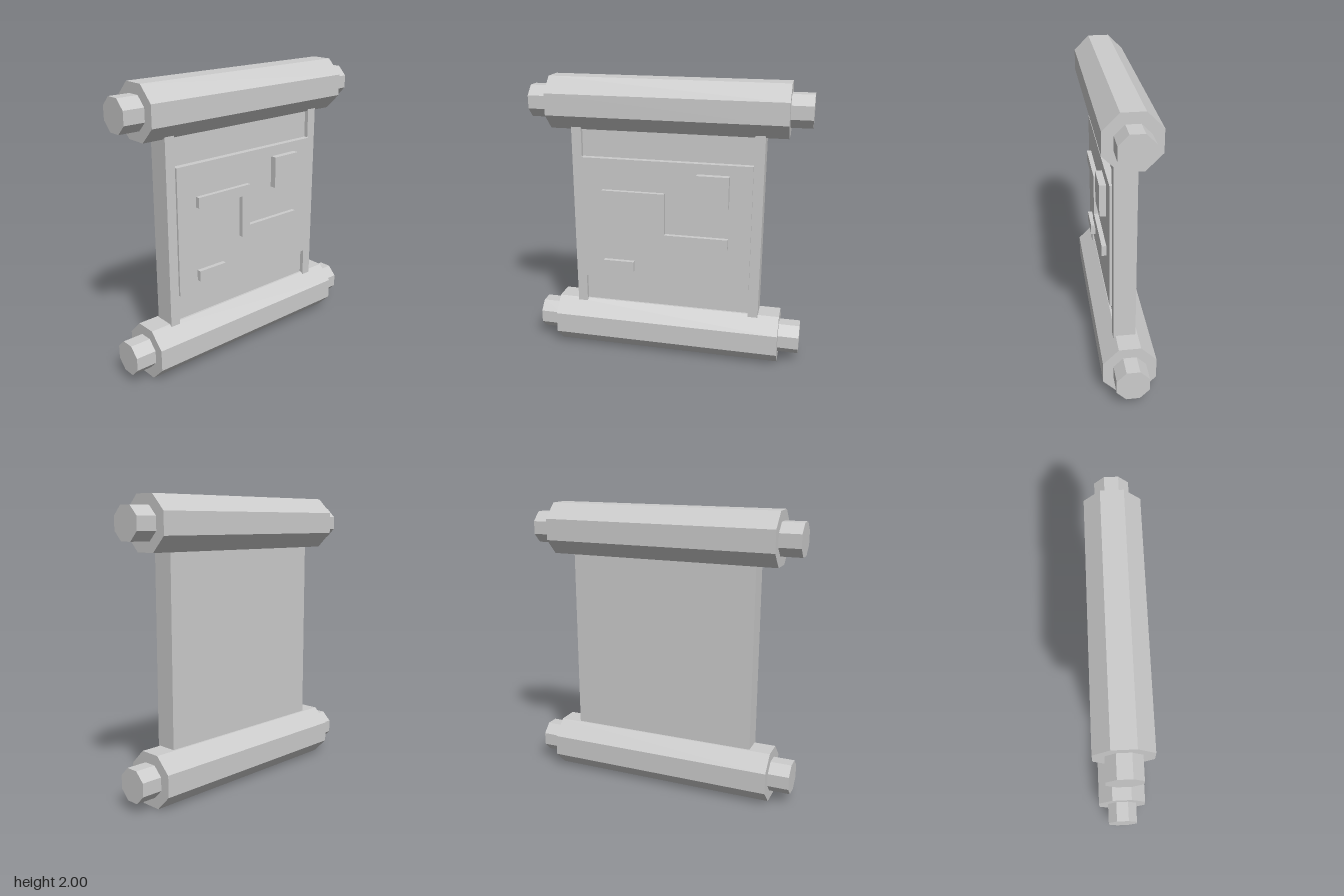
import * as THREE from 'three';

export function createModel() {
  const group = new THREE.Group();
  group.name = 'scroll';
  const stone = new THREE.MeshStandardMaterial({ color: 0xcccccc });
  stone.name = 'stone grey';

  const add = (name, geometry) => {
    const flat = geometry.index ? geometry.toNonIndexed() : geometry;
    flat.computeVertexNormals();
    const mesh = new THREE.Mesh(flat, stone);
    mesh.name = name;
    group.add(mesh);
    return mesh;
  };

  // Octagonal bar along x; apothem is the distance from axis to flat side
  const octagonBar = (name, apothem, x0, x1, y) => {
    const radius = apothem / Math.cos(Math.PI / 8);
    const geometry = new THREE.CylinderGeometry(radius, radius, x1 - x0, 8);
    geometry.rotateY(Math.PI / 8).rotateZ(Math.PI / 2);
    add(name, geometry).position.set((x0 + x1) / 2, y, 0);
  };

  // Box given by its limits
  const block = (name, x0, x1, y0, y1, z0, z1) =>
    add(name, new THREE.BoxGeometry(x1 - x0, y1 - y0, z1 - z0))
      .position.set((x0 + x1) / 2, (y0 + y1) / 2, (z0 + z1) / 2);

  const outline = (points) => new THREE.Shape(points.map(([x, y]) => new THREE.Vector2(x, y)));

  // Rollers with an end knob on each side
  for (const [label, y] of [['top', 1.821], ['bottom', 0.179]]) {
    octagonBar(label + 'Roller', 0.179, -0.82, 0.82, y);
    octagonBar(label + 'LeftKnob', 0.109, 0.82, 0.967, y);
    octagonBar(label + 'RightKnob', 0.109, -0.967, -0.82, y);
  }

  // Sheet with raised side rails: channel cross-section drawn as (x, -z), extruded upwards
  const channel = outline([
    [-0.67, 0.06], [-0.67, -0.09], [-0.6, -0.09], [-0.6, -0.06],
    [0.6, -0.06], [0.6, -0.09], [0.67, -0.09], [0.67, 0.06],
  ]);
  const sheet = new THREE.ExtrudeGeometry(channel, { depth: 1.48, bevelEnabled: false });
  sheet.rotateX(-Math.PI / 2);
  add('sheet', sheet).position.y = 0.26;

  // Raised page on the front
  block('page', -0.6, 0.6, 0.555, 1.45, 0.055, 0.105);

  // Raised marks on the page
  block('squareMark', 0.222, 0.445, 1.155, 1.378, 0.1, 0.15);
  block('barMark', -0.45, -0.227, 0.63, 0.705, 0.1, 0.137);
  const path = outline([
    [-0.45, 1.228], [-0.45, 1.154], [-0.075, 1.154], [-0.075, 0.856],
    [0.445, 0.856], [0.445, 0.93], [-0.002, 0.93], [-0.002, 1.228],
  ]);
  add('steppedMark', new THREE.ExtrudeGeometry(path, { depth: 0.037, bevelEnabled: false }))
    .position.z = 0.1;

  return group;
}
